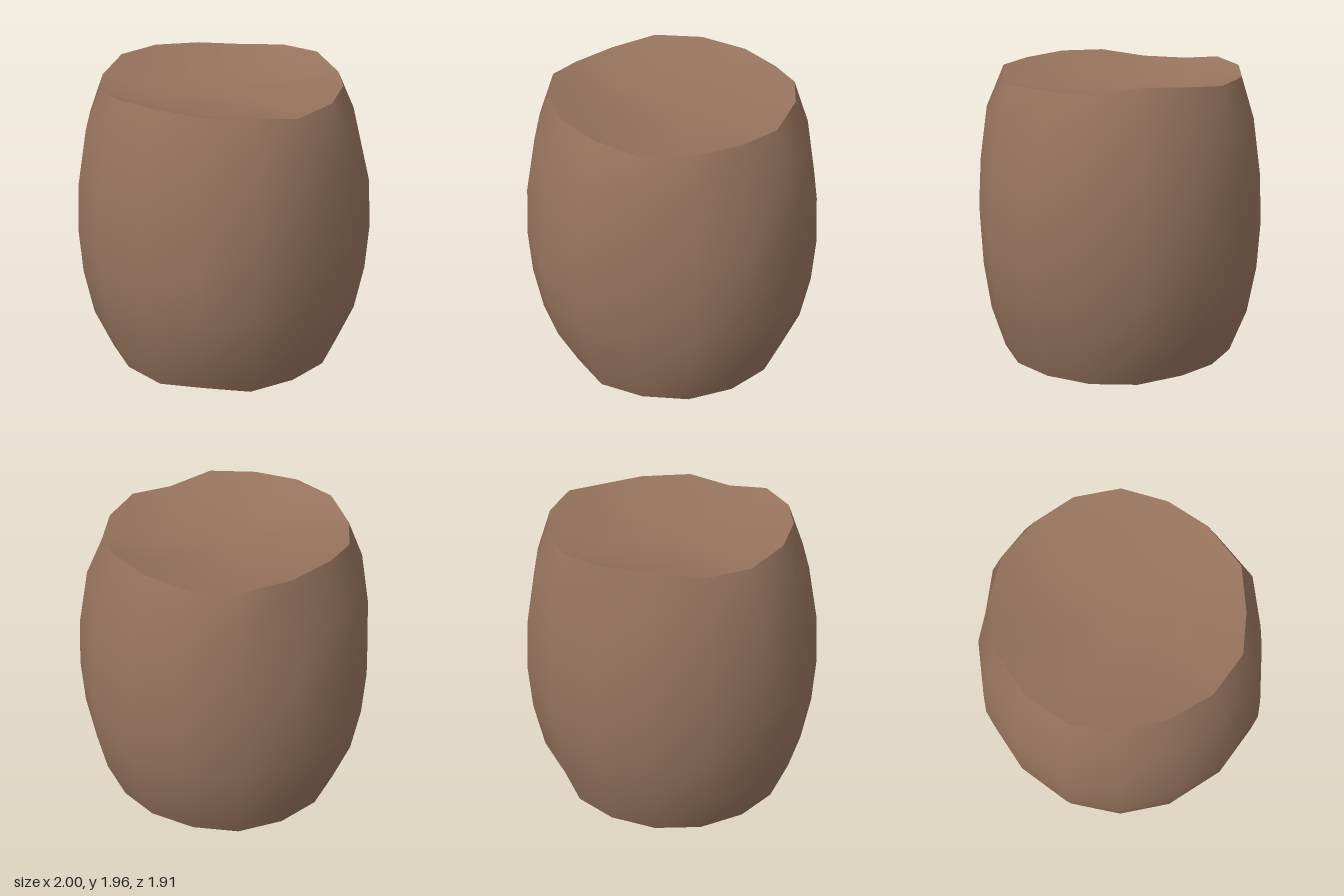
import * as THREE from 'three';

// Hand-carved outlines, 16 corners as [x, z], starting at the left side (+x) and running to the front
const BELLY = [[1, 0.02], [0.91, 0.4], [0.7, 0.72], [0.38, 0.92], [0, 0.955], [-0.38, 0.94], [-0.7, 0.72], [-0.91, 0.4],
  [-1, 0.02], [-0.93, -0.36], [-0.7, -0.68], [-0.38, -0.9], [0, -0.955], [0.38, -0.89], [0.71, -0.69], [0.92, -0.35]];
const RIM = [[0.8, -0.01], [0.74, 0.29], [0.57, 0.54], [0.3, 0.75], [0, 0.78], [-0.3, 0.75], [-0.56, 0.57], [-0.73, 0.3],
  [-0.81, 0], [-0.75, -0.3], [-0.58, -0.56], [-0.32, -0.74], [0, -0.81], [0.32, -0.75], [0.57, -0.56], [0.74, -0.31]];
// Uneven height of the top rim and the base edge
const RIM_Y = [1.955, 1.905, 1.91, 1.91, 1.88, 1.94, 1.945, 1.96, 1.95, 1.905, 1.91, 1.955, 1.945, 1.92, 1.91, 1.94];
const BASE_Y = [0.018, 0.018, 0.02, 0.015, 0.025, 0.015, 0.025, 0.015, 0.015, 0.02, 0.015, 0.015, 0.02, 0.015, 0.02, 0.035];
const N = RIM.length;
const BASE = RIM.map((_, i) => {
  const a = (i / N) * Math.PI * 2;
  const r = i === 6 ? 0.95 : i === 14 ? 0.98 : 1; // two chipped corners
  return [0.8 * r * Math.cos(a), 0.015 + 0.79 * r * Math.sin(a)];
});

const rimRing = RIM.map(([x, z], i) => [x, RIM_Y[i], z]);
const baseRing = BASE.map(([x, z], i) => [x, BASE_Y[i], z]);

// Ring between an end outline and the belly outline; dents scale single corners
function blendRing(end, w, y, dents = {}) {
  return BELLY.map(([x, z], i) => {
    const [ex, ez] = end[i], s = dents[i] ?? 1;
    return [(ex + (x - ex) * w) * s, y, (ez + (z - ez) * w) * s];
  });
}

function makeGeometry(points, index) {
  const g = new THREE.BufferGeometry();
  g.setAttribute('position', new THREE.Float32BufferAttribute(points.flat(), 3));
  g.setIndex(index);
  g.computeVertexNormals();
  return g;
}

// Faces joining a stack of rings
function ringIndex(count) {
  const index = [];
  for (let r = 0; r < count - 1; r++) {
    for (let i = 0; i < N; i++) {
      const a = r * N + i, b = r * N + ((i + 1) % N);
      index.push(a, a + N, b, b, a + N, b + N);
    }
  }
  return index;
}

// End face: edge ring, flat inner ring at height y, centre point
function capGeometry(ring, scale, y, up) {
  const inner = ring.map(([x, , z]) => [x * scale, y, z * scale]);
  const index = ringIndex(2);
  for (let i = 0; i < N; i++) index.push(N + i, 2 * N, N + ((i + 1) % N));
  if (!up) index.reverse();
  return makeGeometry([...ring, ...inner, [0, y, 0]], index);
}

export function createModel() {
  const group = new THREE.Group();
  group.name = 'barrel';
  const wood = new THREE.MeshStandardMaterial({ color: 0x96735d });
  wood.name = 'brown wood';

  const add = (name, geometry) => {
    const mesh = new THREE.Mesh(geometry, wood);
    mesh.name = name;
    group.add(mesh);
  };

  // Bulging side wall, from the base up
  const rings = [
    baseRing,
    blendRing(BASE, 0.6, 0.31),
    blendRing(BASE, 0.9, 0.63),
    blendRing(BASE, 1, 0.95),
    blendRing(RIM, 0.9, 1.28, { 6: 0.97 }),
    blendRing(RIM, 0.56, 1.65, { 2: 0.97, 4: 1.015, 5: 1.015, 12: 0.97 }),
    rimRing,
  ];
  add('sideWall', makeGeometry(rings.flat(), ringIndex(rings.length)));
  add('dishedTop', capGeometry(rimRing, 0.55, 1.83, true));
  add('bottomFace', capGeometry(baseRing, 0.72, 0, false));
  return group;
}
